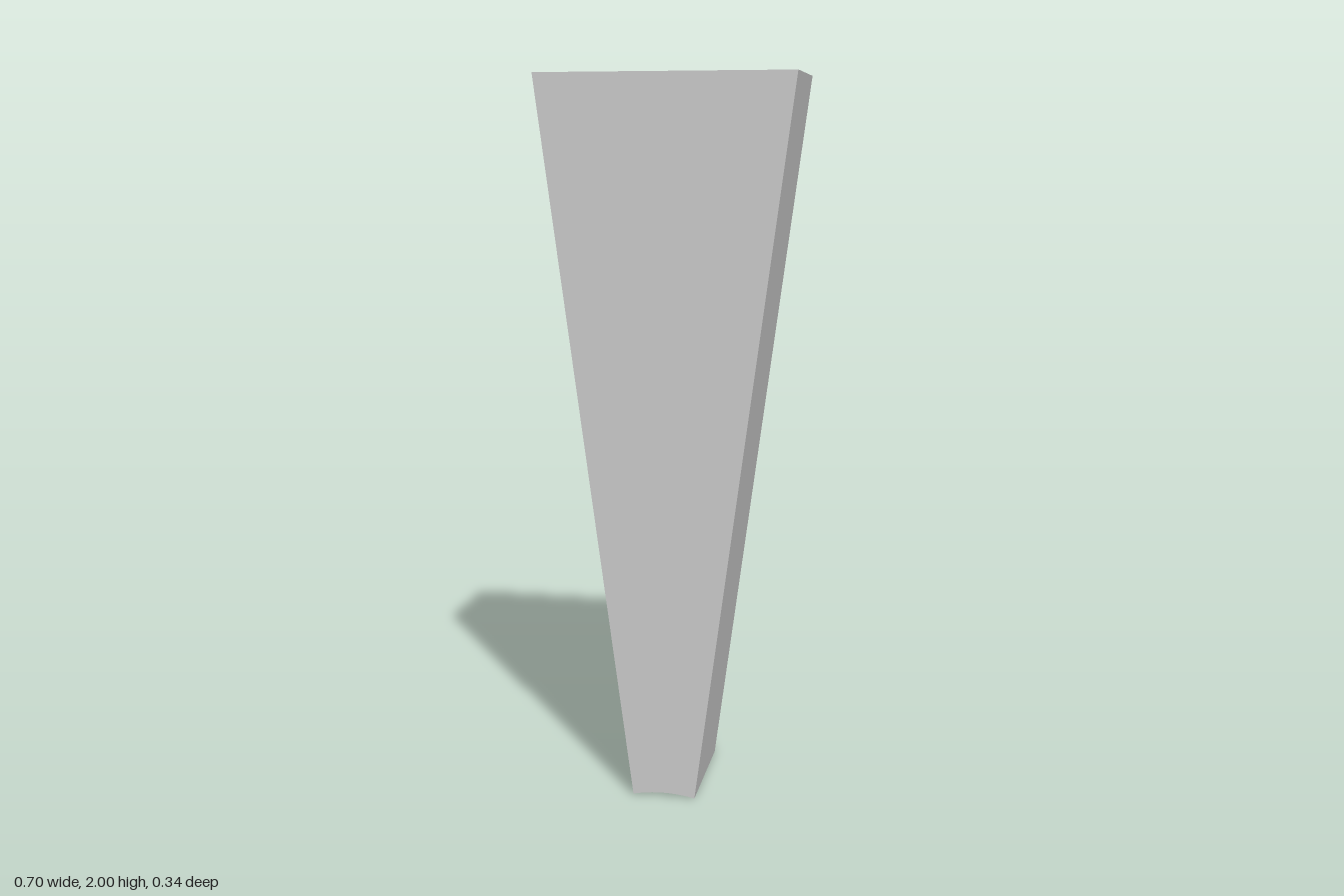
import * as THREE from 'three';

export function createModel() {
  const group = new THREE.Group();
  const topHalf = 0.352, bottomHalf = 0.088, height = 2, depth = 0.345, rise = 0.01;

  // Tapered outline with a shallow concave arc along the bottom end
  const radius = (bottomHalf ** 2 + rise ** 2) / (2 * rise);
  const spread = Math.asin(bottomHalf / radius);
  const outline = new THREE.Shape();
  outline.moveTo(bottomHalf, 0);
  outline.lineTo(topHalf, height);
  outline.lineTo(-topHalf, height);
  outline.lineTo(-bottomHalf, 0);
  outline.absarc(0, rise - radius, radius, Math.PI / 2 + spread, Math.PI / 2 - spread, true);

  // Straight extrusion centred on z
  const geometry = new THREE.ExtrudeGeometry(outline, { depth, bevelEnabled: false, curveSegments: 8 });
  geometry.translate(0, 0, -depth / 2);

  const wedge = new THREE.Mesh(geometry, new THREE.MeshStandardMaterial({ color: 0xcccccc }));
  wedge.name = 'taperedWedge';
  group.add(wedge);
  return group;
}
